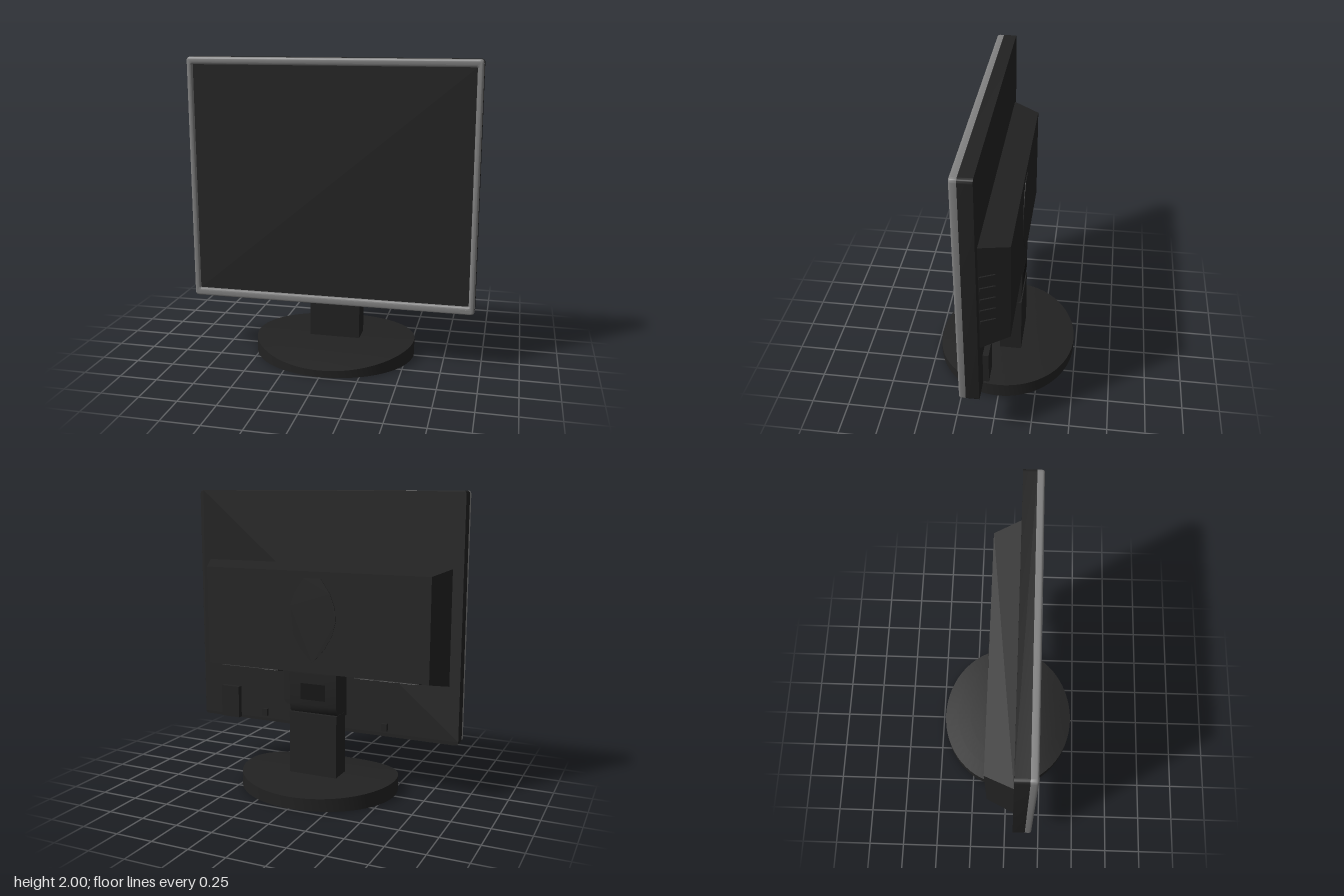
import * as THREE from 'three';
import { toCreasedNormals } from 'three/addons/utils/BufferGeometryUtils.js';

const mat = (name, color) => {
  const m = new THREE.MeshStandardMaterial({ color });
  m.name = name;
  return m;
};

// Rounded rectangle given by its edges
function roundRect(x0, y0, x1, y1, r, shape = new THREE.Shape()) {
  shape.moveTo(x0 + r, y0);
  shape.lineTo(x1 - r, y0);
  shape.quadraticCurveTo(x1, y0, x1, y0 + r);
  shape.lineTo(x1, y1 - r);
  shape.quadraticCurveTo(x1, y1, x1 - r, y1);
  shape.lineTo(x0 + r, y1);
  shape.quadraticCurveTo(x0, y1, x0, y1 - r);
  shape.lineTo(x0, y0 + r);
  shape.quadraticCurveTo(x0, y0, x0 + r, y0);
  return shape;
}

export function createModel() {
  const model = new THREE.Group();
  model.name = 'monitor';
  const black = mat('black plastic', 0x222222);
  const silver = mat('silver plastic', 0x808080);
  const glass = mat('dark screen', 0x232323);
  const recess = mat('recess black', 0x131313);
  const metal = mat('port metal', 0x555555);

  const add = (name, geometry, material, x = 0, y = 0, z = 0) => {
    const mesh = new THREE.Mesh(geometry, material);
    mesh.name = name;
    mesh.position.set(x, y, z);
    model.add(mesh);
    return mesh;
  };
  const box = (name, w, h, d, material, x, y, z) =>
    add(name, new THREE.BoxGeometry(w, h, d), material, x, y, z);
  const extrude = (shape, depth, options = {}) =>
    toCreasedNormals(new THREE.ExtrudeGeometry(shape, { depth, bevelEnabled: false, curveSegments: 6, ...options }), 0.6);

  // Panel shell and silver bezel with rounded lips
  add('panelShell', extrude(roundRect(-0.95, 0.385, 0.95, 2, 0.025), 0.085), black, 0, 0, 0.06);
  const frame = roundRect(-0.95, 0.385, 0.95, 2, 0.025);
  frame.holes.push(roundRect(-0.912, 0.438, 0.912, 1.952, 0.008, new THREE.Path()));
  add('bezel', extrude(frame, 0.029, {
    bevelEnabled: true, bevelSize: 0.014, bevelOffset: -0.014, bevelThickness: 0.016, bevelSegments: 4,
  }), silver, 0, 0, 0.145);
  box('screen', 1.84, 1.53, 0.008, glass, 0, 1.195, 0.166);
  box('powerButton', 0.07, 0.018, 0.006, silver, 0.895, 0.408, 0.188);

  // Tapered rear housing
  const housing = new THREE.BoxGeometry(2, 1, 0.175);
  const p = housing.attributes.position;
  for (let i = 0; i < p.count; i++) {
    const front = p.getZ(i) > 0, top = p.getY(i) > 0;
    p.setX(i, Math.sign(p.getX(i)) * (front ? 0.88 : 0.80));
    p.setY(i, top ? (front ? 1.52 : 1.485) : (front ? 0.77 : 0.81));
    p.setZ(i, front ? 0.06 : -0.117);
  }
  housing.computeVertexNormals();
  add('rearHousing', housing, black);

  // Pointed oval pad on the housing back
  const oval = new THREE.Shape();
  oval.moveTo(0, 0.88);
  oval.quadraticCurveTo(0.3, 1.16, 0.06, 1.44);
  oval.lineTo(-0.06, 1.44);
  oval.quadraticCurveTo(-0.3, 1.16, 0, 0.88);
  add('rearPad', extrude(oval, 0.005), black, 0, 0, -0.121);

  // Vent ribs on the left flank
  for (let i = 0; i < 5; i++) {
    const rib = box('ventRib', 0.02, 0.022, 0.095, black, 0.858, 0.975 + i * 0.083, 0.012);
    rib.rotation.y = 0.43;
  }

  // Port bays under the housing
  for (const side of [1, -1]) {
    const bay = box('portBay', 0.44, 0.008, 0.09, recess, side * 0.5, 0.789, -0.03);
    bay.rotation.x = 0.225;
    for (let i = 0; i < (side > 0 ? 1 : 3); i++) {
      const port = box('port', 0.1, 0.008, 0.05, metal, side * (0.36 + i * 0.14), 0.786, -0.03);
      port.rotation.x = 0.225;
    }
    // Small hooks at the lower edge
    box('cableHook', 0.04, 0.05, 0.025, black, side * 0.45, 0.45, 0.05);
  }

  // Blocks on the lower back
  box('lowerBlock', 0.14, 0.225, 0.045, black, 0.72, 0.505, 0.045);
  add('cableGuide', extrude(roundRect(0.18, 0.54, 0.28, 0.8, 0.045), 0.05), black, 0, 0, 0.015);

  // Hinge block between the housing and the column
  const hinge = new THREE.Shape();
  [[-0.06, 0.83], [-0.06, 0.5], [0, 0.5], [0.08, 0.52], [0.105, 0.545], [0.115, 0.59], [0.115, 0.83]]
    .forEach(([x, y], i) => (i ? hinge.lineTo(x, y) : hinge.moveTo(x, y)));
  add('hinge', extrude(hinge, 0.34), black, -0.17).rotation.y = Math.PI / 2;
  box('hingeRecess', 0.18, 0.11, 0.006, recess, 0, 0.68, -0.115);

  // Stand column
  box('column', 0.344, 0.45, 0.15, black, 0, 0.305, -0.04);

  // Oval foot: curved top that falls towards the front, hollowed underside
  const profile = [[0, 0.03], [1, 0], [1, 1], [0.8, 1], [0.6, 1], [0.4, 1], [0.2, 1], [0, 1]]
    .map(([r, y]) => new THREE.Vector2(r, y));
  const foot = new THREE.LatheGeometry(profile, 64);
  const f = foot.attributes.position;
  for (let i = 0; i < f.count; i++) {
    const z = f.getZ(i);
    if (f.getY(i) > 0.5) f.setY(i, 0.105 - (z > 0 ? 0.06 : 0.025) * z * z);
    f.setX(i, f.getX(i) * 0.545);
    f.setZ(i, z * 0.483);
  }
  add('foot', toCreasedNormals(foot, 0.6), black);

  return model;
}
